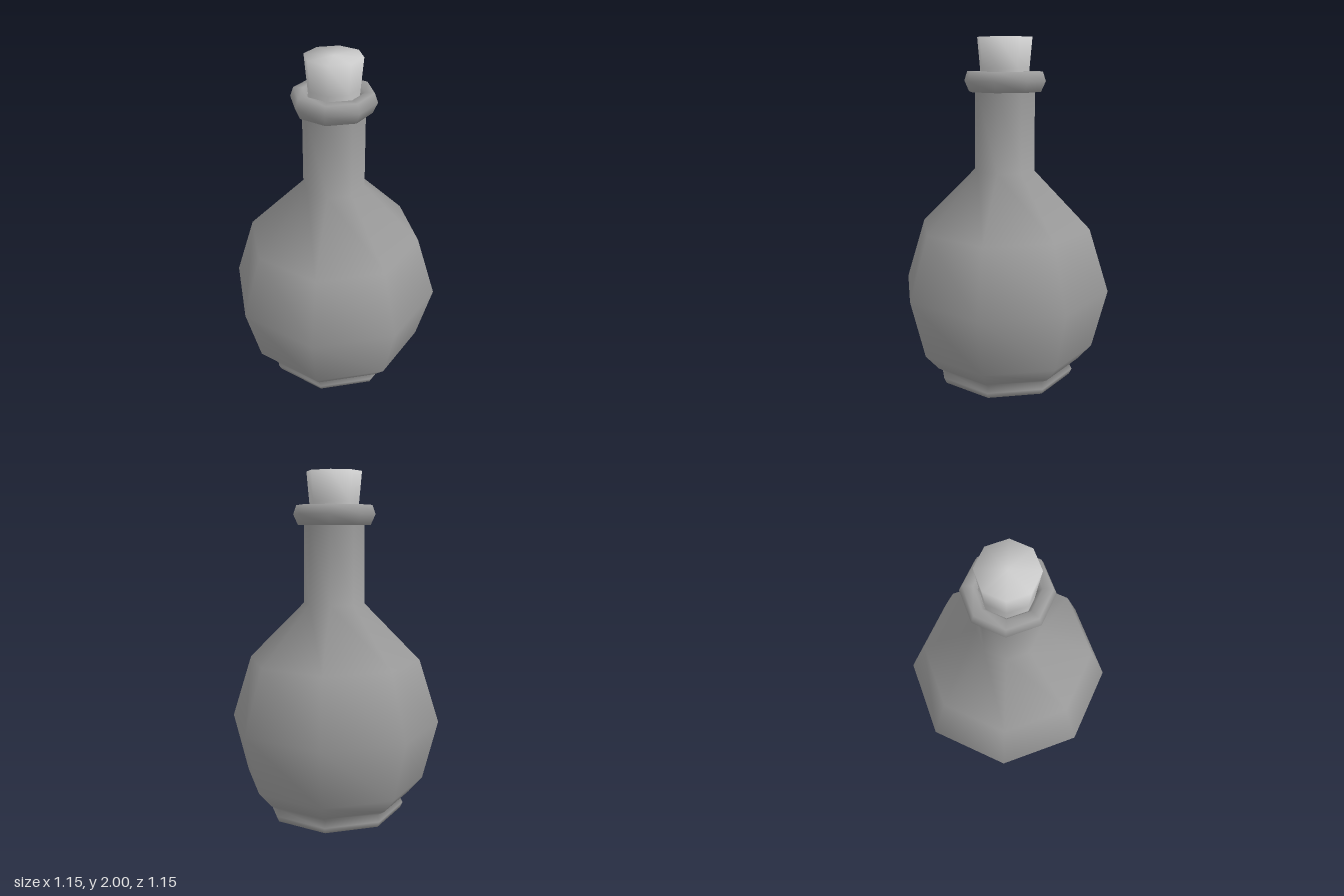
import * as THREE from 'three';

const SIDES = 8;
const CORNER = 1 / Math.cos(Math.PI / SIDES); // flat-to-centre distance -> corner radius

export function createModel() {
  const model = new THREE.Group();
  model.name = 'corkedBottle';
  const bottleMaterial = new THREE.MeshStandardMaterial({ color: 0x9c9c9c });
  const corkMaterial = new THREE.MeshStandardMaterial({ color: 0xcccccc });

  // Eight-sided turned part from [half width, height] points; flats face the axes
  function turned(name, profile, material) {
    const points = profile.map(([r, y]) => new THREE.Vector2(r * CORNER, y));
    const mesh = new THREE.Mesh(
      new THREE.LatheGeometry(points, SIDES, Math.PI / SIDES), material);
    mesh.name = name;
    model.add(mesh);
  }

  // Underside, rounded foot rim, belly, shoulder and straight neck in one smooth skin
  turned('bottleBody', [[0, 0], [0.33, 0], [0.375, 0], [0.389, 0.035], [0.372, 0.07],
    [0.42, 0.105], [0.495, 0.2], [0.575, 0.55], [0.467, 0.92],
    [0.165, 1.25], [0.162, 1.7]], bottleMaterial);

  // Lip ring, and the bore that holds the cork
  turned('lip', [[0.162, 1.7], [0.195, 1.7], [0.22, 1.76], [0.203, 1.812],
    [0.155, 1.812], [0.135, 1.775]], bottleMaterial);
  turned('bore', [[0.135, 1.775], [0.13, 1.6], [0, 1.6]], bottleMaterial);

  // Tapered cork with a softly shaded top edge
  turned('cork', [[0.115, 1.6], [0.133, 1.83], [0.147, 2], [0, 2]], corkMaterial);

  return model;
}
